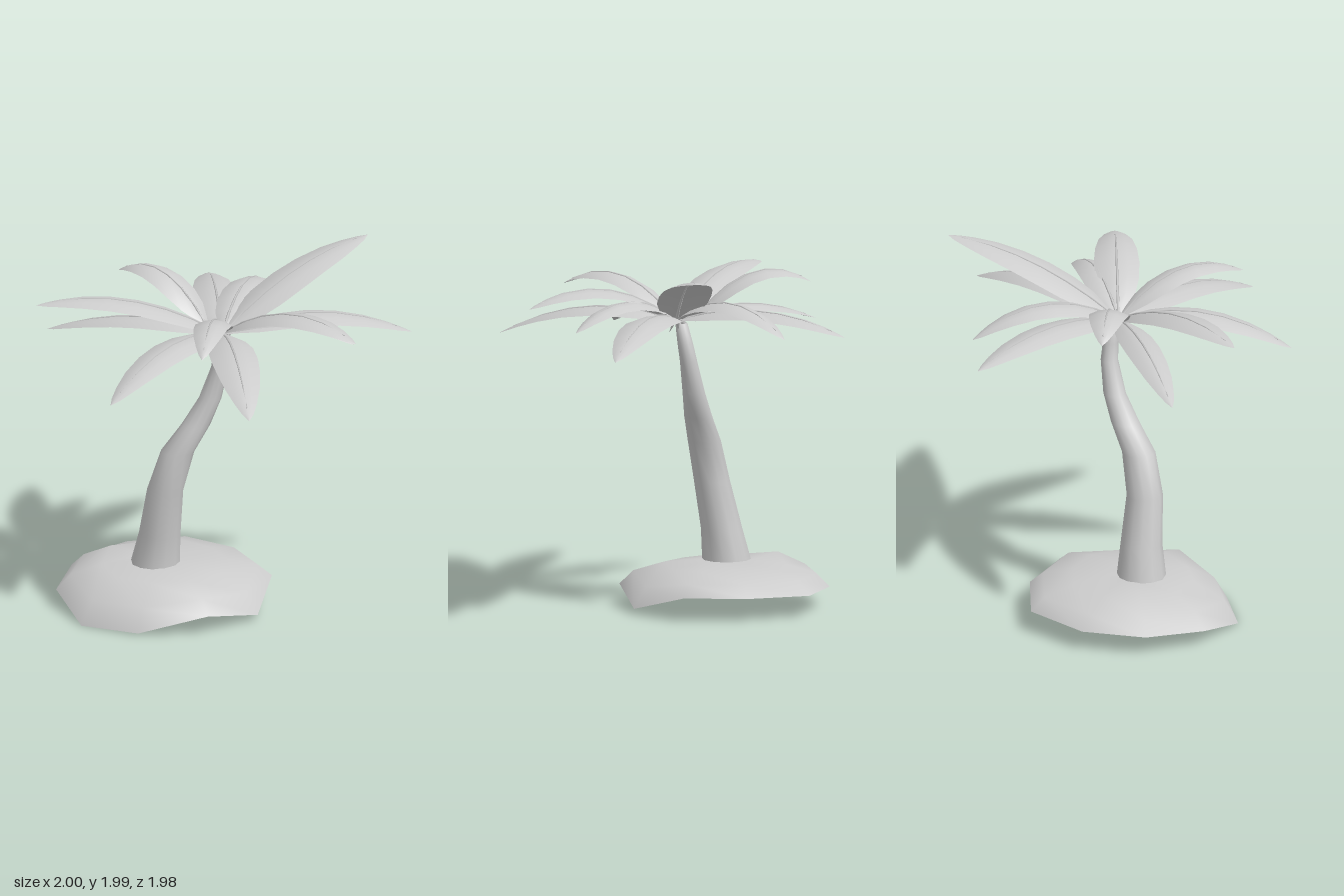
import * as THREE from 'three';

const material = new THREE.MeshStandardMaterial({ color: 0xcccccc, side: THREE.DoubleSide });

// Skin a list of equal-length point rows into one smooth surface
function loft(rows, closed) {
  const n = rows[0].length, index = [];
  for (let i = 0; i < rows.length - 1; i++) {
    for (let j = 0; j < (closed ? n : n - 1); j++) {
      const a = i * n + j, b = i * n + (j + 1) % n;
      index.push(a, a + n, b, b, a + n, b + n);
    }
  }
  const geometry = new THREE.BufferGeometry().setFromPoints(rows.flat());
  geometry.setIndex(index);
  geometry.computeVertexNormals();
  return geometry;
}

function addMesh(parent, name, geometry) {
  const mesh = new THREE.Mesh(geometry, material);
  mesh.name = name;
  parent.add(mesh);
  return mesh;
}

// Open sand shell with an uneven rim
function createMound() {
  const cx = -0.28, cz = -0.26;
  const rim = [
    [0.29, 0.13, -0.1], [0.27, 0.13, -0.45], [0.07, 0.12, -0.77], [-0.3, 0.11, -0.84], [-0.64, 0.11, -0.73],
    [-0.85, 0.09, -0.45], [-0.85, 0.0, -0.09], [-0.62, 0.01, 0.17], [-0.27, 0.11, 0.32], [0.08, 0.03, 0.2],
  ];
  const ring = (scale, height) => rim.map(([x, y, z], i) =>
    new THREE.Vector3(cx + (x - cx) * scale, height(y, i), cz + (z - cz) * scale));
  return loft([
    ring(1, y => y),
    ring(0.87, y => 0.13 + y * 0.5),
    ring(0.58, (y, i) => (i === 4 ? 0.268 : 0.225 + y * 0.1)),
    ring(0.25, () => 0.25),
    ring(0, () => 0.25),
  ], true);
}

// Bent, tapering trunk: x, y, z, radius at each level
function createTrunk() {
  const levels = [
    [-0.335, 0.17, -0.27, 0.0], [-0.335, 0.17, -0.27, 0.145], [-0.335, 0.25, -0.265, 0.135],
    [-0.32, 0.42, -0.24, 0.115], [-0.31, 0.69, -0.187, 0.1], [-0.25, 0.92, -0.152, 0.092],
    [-0.15, 1.07, -0.13, 0.078], [-0.072, 1.22, -0.113, 0.062], [-0.025, 1.4, -0.09, 0.048],
    [-0.022, 1.5, -0.072, 0.043], [-0.03, 1.61, -0.05, 0.034], [-0.03, 1.61, -0.05, 0],
  ];
  return loft(levels.map(([x, y, z, r]) => Array.from({ length: 12 }, (_, i) => {
    const a = -i / 12 * Math.PI * 2;
    return new THREE.Vector3(x + r * Math.cos(a), y, z + r * Math.sin(a));
  })), true);
}

// Arched leaf with drooping sides and a slim rib
function createFrond([tx, ty, tz, midY, width, bx = -0.04, bz = -0.02]) {
  const frond = new THREE.Group();
  const base = new THREE.Vector3(bx, 1.62, bz);
  const tip = new THREE.Vector3(tx, ty, tz);
  const control = base.clone().add(tip).multiplyScalar(0.5);
  control.y = 2 * midY - control.y;
  const spine = new THREE.QuadraticBezierCurve3(base, control, tip);
  const side = new THREE.Vector3(tip.z - base.z, 0, base.x - tip.x).normalize();
  const profile = [[0, 0.06], [0.08, 0.4], [0.18, 0.78], [0.3, 0.97], [0.45, 1],
    [0.6, 0.92], [0.75, 0.74], [0.87, 0.48], [0.95, 0.24], [1, 0]];

  const rows = profile.map(([t, w]) => [-1, -0.5, 0, 0.5, 1].map(s => {
    const p = spine.getPoint(t).addScaledVector(side, s * w * width / 2);
    p.y -= 0.035 * w * s * s;
    return p;
  }));
  addMesh(frond, 'leafBlade', loft(rows, false));

  const ribRows = [0, 0.15, 0.3, 0.45, 0.6, 0.75, 0.92].map(t => [0, 1, 2, 3].map(k => {
    const r = 0.009 * (1 - 0.8 * t), a = k * Math.PI / 2;
    const p = spine.getPoint(t).addScaledVector(side, r * Math.cos(a));
    p.y += r * Math.sin(a);
    return p;
  }));
  addMesh(frond, 'leafRib', loft(ribRows, true));
  return frond;
}

export function createModel() {
  const model = new THREE.Group();
  model.name = 'palmTree';
  addMesh(model, 'sandMound', createMound());
  addMesh(model, 'trunk', createTrunk());

  // Fronds: tip x, y, z, height halfway, width, optional base x, z
  const crown = new THREE.Group();
  crown.name = 'crown';
  const fronds = [
    [-1.0, 1.8, -0.38, 1.82, 0.25],
    [-0.8, 1.52, -0.71, 1.66, 0.2],
    [-0.36, 1.8, -0.73, 1.87, 0.22, -0.08, -0.12],
    [0.28, 1.6, -0.99, 1.71, 0.25],
    [0.5, 1.62, -0.68, 1.77, 0.22],
    [0.92, 1.99, -0.24, 1.89, 0.29],
    [1.0, 1.56, 0.2, 1.71, 0.26],
    [0.54, 1.64, 0.47, 1.77, 0.2],
    [0.44, 1.75, 0.74, 1.83, 0.25],
    [-0.3, 1.49, 0.99, 1.67, 0.26],
    [-0.44, 1.75, 0.65, 1.84, 0.2],
    [-0.89, 1.47, 0.42, 1.67, 0.25],
  ];
  fronds.forEach((data, i) => {
    const frond = createFrond(data);
    frond.name = `frond${i + 1}`;
    crown.add(frond);
  });

  // Short leaf stubs hanging around the trunk top
  for (let i = 0; i < 6; i++) {
    const a = i / 6 * Math.PI * 2;
    const stub = addMesh(crown, 'leafStub', new THREE.ConeGeometry(0.012, 0.09, 4));
    stub.position.set(-0.035 + 0.04 * Math.cos(a), 1.595, -0.035 + 0.04 * Math.sin(a));
    stub.rotation.set(Math.PI - 0.5 * Math.sin(a), 0, 0.5 * Math.cos(a));
  }
  model.add(crown);
  return model;
}
